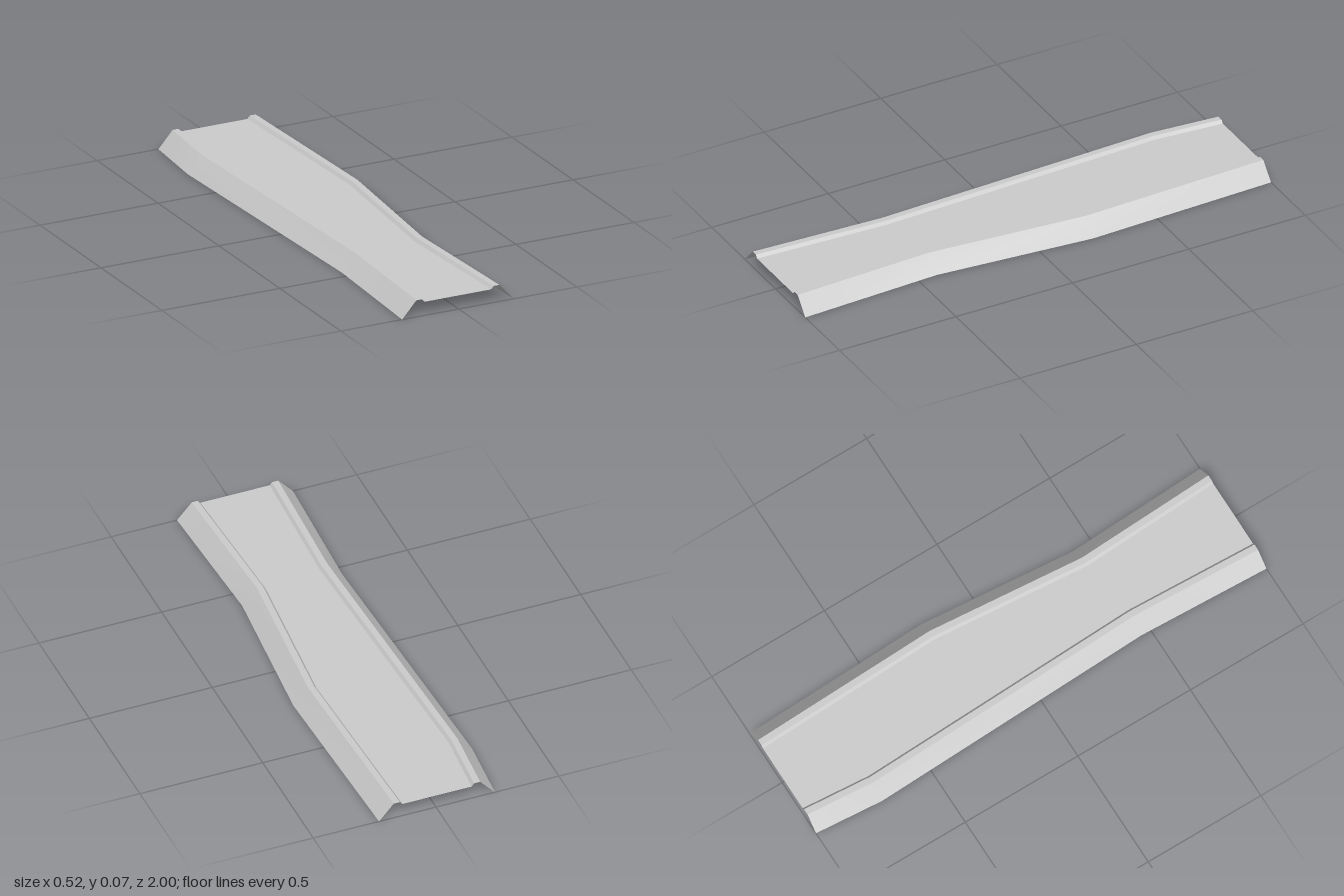
import * as THREE from 'three';

const DECK_Y = 0.055;
// Rail cross-section from the skirt foot inward: [inset, height]
const PROFILE = [[0, 0], [0.06, 0.067], [0.085, 0.067], [0.095, DECK_Y]];
// Outer outlines from back to front: [x, z]
const RIGHT_EDGE = [[-0.24, -1], [-0.262, -0.72], [-0.217, 0.46], [-0.24, 1]];
const LEFT_EDGE = [[0.232, -1], [0.26, -0.22], [0.205, 0.42], [0.232, 1]];

// Sweeps one span of the cross-section along an outline
function strip(edge, from, to) {
  const side = Math.sign(edge[0][0]);
  const positions = [];
  const index = [];
  for (const [x, z] of edge) {
    for (const [inset, y] of [from, to]) positions.push(x - side * inset, y, z);
  }
  for (let i = 0; i < edge.length - 1; i++) {
    const a = i * 2, b = a + 1, c = a + 2, d = a + 3;
    if (side < 0) index.push(a, c, b, b, c, d);
    else index.push(a, b, c, b, d, c);
  }
  const geometry = new THREE.BufferGeometry();
  geometry.setAttribute('position', new THREE.Float32BufferAttribute(positions, 3));
  geometry.setIndex(index);
  geometry.computeVertexNormals();
  return geometry;
}

export function createModel() {
  const model = new THREE.Group();
  model.name = 'walkway';
  const grey = new THREE.MeshStandardMaterial({ color: 0xcccccc, side: THREE.DoubleSide });
  grey.name = 'light grey';

  // Skirt, raised rim and inner step on each side
  const names = ['Skirt', 'Rim', 'InnerStep'];
  for (const [prefix, edge] of [['right', RIGHT_EDGE], ['left', LEFT_EDGE]]) {
    names.forEach((name, i) => {
      const mesh = new THREE.Mesh(strip(edge, PROFILE[i], PROFILE[i + 1]), grey);
      mesh.name = prefix + name;
      model.add(mesh);
    });
  }

  // Flat deck between the two rails
  const inset = PROFILE[3][0];
  const outline = [
    ...RIGHT_EDGE.map(([x, z]) => new THREE.Vector2(x + inset, -z)),
    ...[...LEFT_EDGE].reverse().map(([x, z]) => new THREE.Vector2(x - inset, -z)),
  ];
  const deckGeometry = new THREE.ShapeGeometry(new THREE.Shape(outline));
  deckGeometry.rotateX(-Math.PI / 2);
  const deck = new THREE.Mesh(deckGeometry, grey);
  deck.name = 'deck';
  deck.position.y = DECK_Y;
  model.add(deck);

  return model;
}
